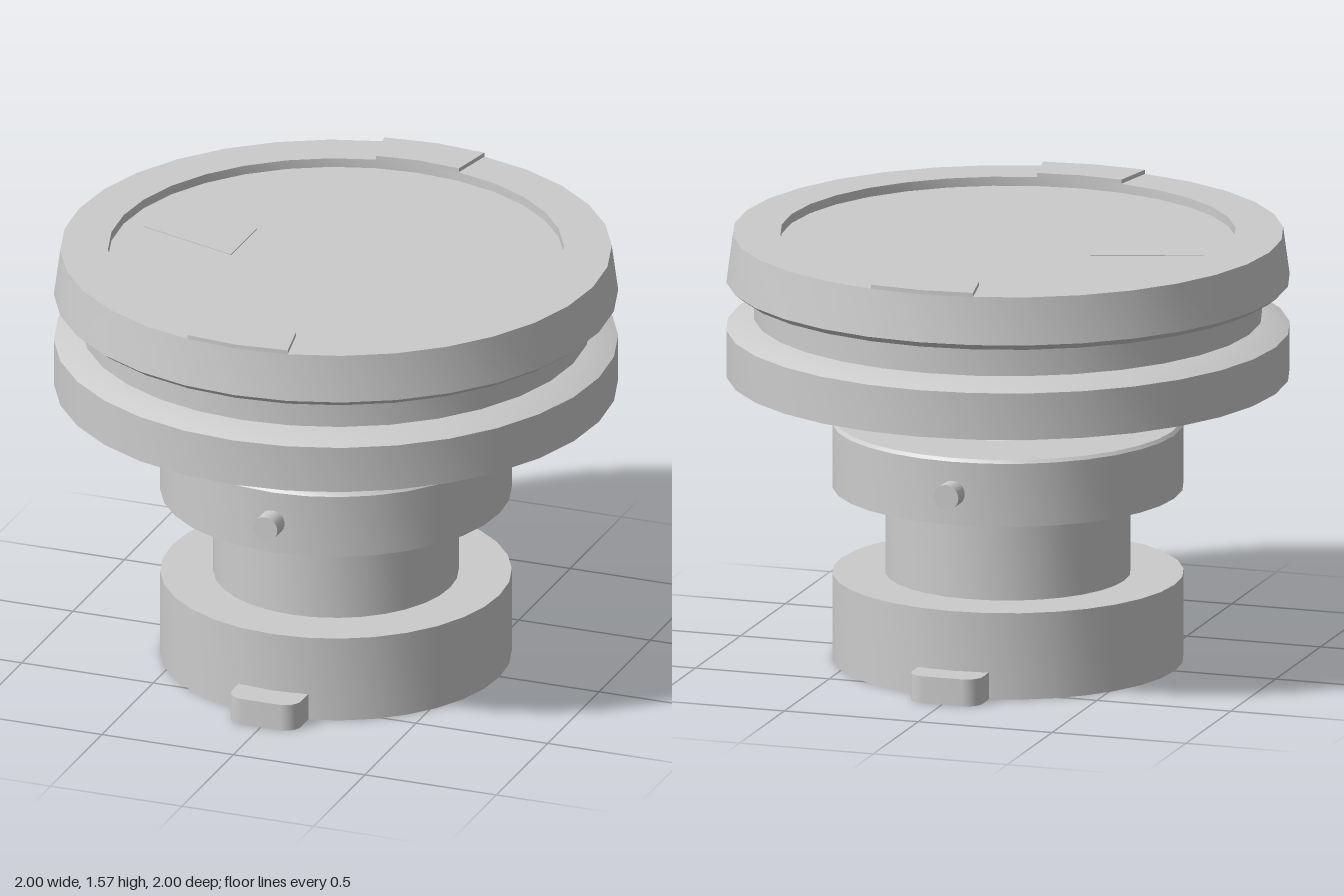
import * as THREE from 'three';
import { toCreasedNormals } from 'three/addons/utils/BufferGeometryUtils.js';

const SIDES = 32;
const STEP = (Math.PI * 2) / SIDES;

export function createModel() {
  const model = new THREE.Group();
  const material = new THREE.MeshStandardMaterial({ color: 0xcccccc });

  const add = (name, geometry) => {
    const mesh = new THREE.Mesh(toCreasedNormals(geometry, 0.4), material);
    mesh.name = name;
    model.add(mesh);
    return mesh;
  };

  // Solid of revolution from [radius, height] pairs, bottom to top
  const turned = (name, profile) =>
    add(name, new THREE.LatheGeometry(profile.map(([r, y]) => new THREE.Vector2(r, y)), SIDES));

  // Flat plate: outline in plan (shape y = -z), from height y0 to y1
  const plate = (name, shape, y0, y1) => {
    const g = new THREE.ExtrudeGeometry(shape, { depth: y1 - y0, bevelEnabled: false, curveSegments: 5 });
    return add(name, g.rotateX(-Math.PI / 2).translate(0, y0, 0));
  };

  // Stem: foot, waist, collar and flared neck
  turned('foot', [[0, 0], [0.623, 0], [0.623, 0.315], [0, 0.315]]);
  turned('waist', [[0.435, 0.31], [0.435, 0.635]]);
  turned('collar', [[0, 0.63], [0.623, 0.63], [0.623, 0.86], [0.613, 0.872], [0, 0.872]]);
  turned('neck', [[0.333, 0.87], [0.32, 0.89], [0.312, 0.92], [0.312, 1.045]]);

  // Head: lower flange, groove and dished cap
  turned('flange', [[0, 1.04], [1, 1.04], [1, 1.21], [0.9, 1.25], [0, 1.25]]);
  turned('groove', [[0.902, 1.24], [0.902, 1.37]]);
  turned('cap', [
    [0, 1.362], [0.97, 1.362], [1, 1.385], [0.977, 1.555],
    [0.808, 1.555], [0.808, 1.522], [0, 1.522],
  ]);

  // Shallow pointer on the dish floor
  const pointer = new THREE.Shape([[-0.73, 0], [-0.35, -0.125], [-0.35, 0.125]].map(p => new THREE.Vector2(...p)));
  plate('pointer', pointer, 1.515, 1.525);

  // Raised rim pad, two facets wide
  const polar = (r, a) => new THREE.Vector2(r * Math.sin(a), -r * Math.cos(a));
  const pad = new THREE.Shape([
    polar(0.977, -STEP), polar(0.977, 0), polar(0.977, STEP),
    polar(0.808, STEP), polar(0.808, 0), polar(0.808, -STEP),
  ]);

  // Foot lug with rounded outer corners
  const lug = new THREE.Shape();
  lug.moveTo(-0.132, -0.55);
  lug.lineTo(-0.132, -0.675);
  lug.absarc(-0.072, -0.675, 0.06, Math.PI, Math.PI * 1.5, false);
  lug.absarc(0.072, -0.675, 0.06, Math.PI * 1.5, Math.PI * 2, false);
  lug.lineTo(0.132, -0.55);

  // Front and back copies of pad, lug and collar pin
  for (const [side, turn] of [['front', 0], ['back', Math.PI]]) {
    plate(side + 'RimPad', pad, 1.54, 1.57).rotation.y = turn;
    plate(side + 'FootLug', lug, 0, 0.098).rotation.y = turn;
    const pin = new THREE.CylinderGeometry(0.046, 0.046, 0.14, 24);
    add(side + 'CollarPin', pin.rotateX(Math.PI / 2).translate(0, 0.745, 0.62)).rotation.y = turn;
  }

  return model;
}
